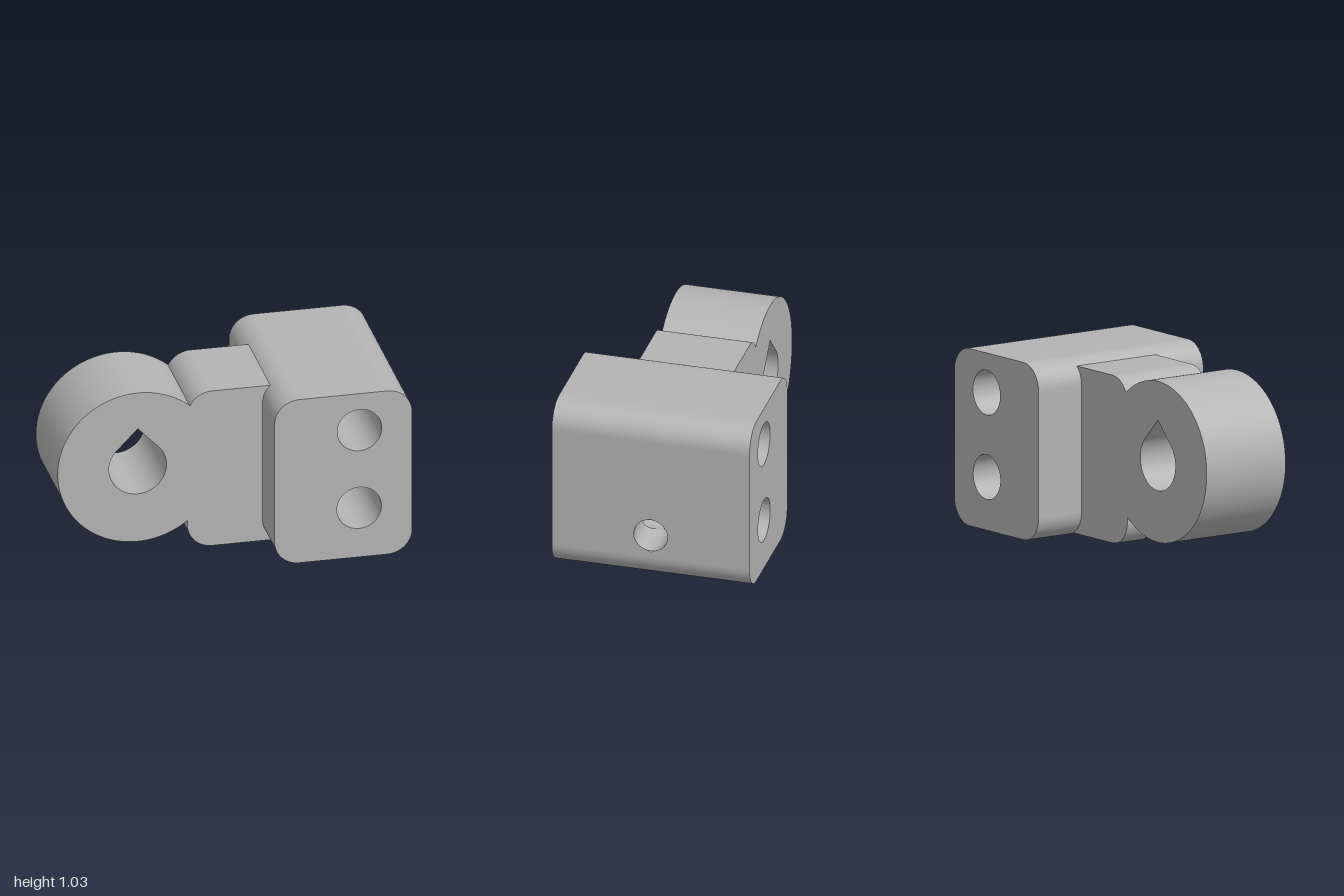
import * as THREE from 'three';
import { toCreasedNormals } from 'three/addons/utils/BufferGeometryUtils.js';

const PI = Math.PI;
const V = (x, y) => new THREE.Vector2(x, y);
const half = (r, d) => Math.sqrt(Math.max(0, r * r - d * d)); // half chord of a circle

// side bore along x, slot cut upward from below the neck and ring
const BORE_Y = 0.285, R = 0.1;
const SLOT_A = -0.4, SLOT_B = 0.03, BORE_END = -0.45;
const CEIL = BORE_Y + R * Math.sin(PI * 33.75 / 180);
const LOWER = { x: 0.69, y: 0.31, r: 0.13 };

function arc(cx, cy, r, a, b) {
  const n = Math.max(12, Math.ceil(Math.abs(b - a) * r / 0.008));
  return Array.from({ length: n + 1 }, (_, i) => {
    const t = a + (b - a) * i / n;
    return V(cx + r * Math.cos(t), cy + r * Math.sin(t));
  });
}

// Split long straight runs so that openings can be cut cleanly
function fill(points, closed = true) {
  const out = [];
  points.forEach((p, i) => {
    if (!closed && i === points.length - 1) return out.push(p);
    const q = points[(i + 1) % points.length];
    const d = p.distanceTo(q);
    if (d < 1e-5) return;
    const n = Math.ceil(d / 0.0085);
    for (let k = 0; k < n; k++) out.push(p.clone().lerp(q, k / n));
  });
  return out;
}

function quad(pos, a, b, c, d) {
  pos.push(...a, ...b, ...c, ...a, ...c, ...d);
}

function makeMesh(name, pos, material) {
  const g = new THREE.BufferGeometry();
  g.setAttribute('position', new THREE.Float32BufferAttribute(pos, 3));
  const m = new THREE.Mesh(toCreasedNormals(g, 0.5), material);
  m.name = name;
  return m;
}

// Walls of a profile; gap(x, y) is the half width in z of an opening in the wall
function walls(pos, pts, depth, gap, closed = true) {
  const n = closed ? pts.length : pts.length - 1;
  for (let i = 0; i < n; i++) {
    const a = pts[i], b = pts[(i + 1) % pts.length];
    const wa = gap(a.x, a.y), wb = gap(b.x, b.y);
    quad(pos, [a.x, a.y, -depth], [b.x, b.y, -depth], [b.x, b.y, -wb], [a.x, a.y, -wa]);
    quad(pos, [a.x, a.y, wa], [b.x, b.y, wb], [b.x, b.y, depth], [a.x, a.y, depth]);
  }
}

// Flat front and back with holes
function caps(pos, outline, holes, depth) {
  const all = [outline, ...holes].flat();
  for (const [i, j, k] of THREE.ShapeUtils.triangulateShape(outline, holes)) {
    for (const [z, order] of [[depth, [i, j, k]], [-depth, [i, k, j]]]) {
      for (const v of order) pos.push(all[v].x, all[v].y, z);
    }
  }
}

function slotHalf(x) {
  if (x < SLOT_A) return half(R, x - SLOT_A);
  if (x > SLOT_B) return half(R, x - SLOT_B);
  return R;
}

// Underside height of ring and neck
function bottomY(x) {
  if (x < -0.245) return 0.555 - half(0.468, x + 0.535);
  if (x < -0.1) return 0.16 - half(0.145, x + 0.1);
  return 0.015;
}

export function createModel() {
  const group = new THREE.Group();
  const grey = new THREE.MeshStandardMaterial({ color: 0xb4b4b4, side: THREE.DoubleSide });
  grey.name = 'grey';
  const boreGap = (x, y) => half(R, y - BORE_Y);

  // Block with two cross holes and the side bore
  const block = [];
  const blockOutline = fill([
    ...arc(0.855, 0.145, 0.145, -PI / 2, 0), ...arc(0.855, 0.885, 0.145, 0, PI / 2),
    ...arc(0.34, 0.885, 0.145, PI / 2, PI), ...arc(0.34, 0.145, 0.145, PI, PI * 1.5),
  ]);
  const upperHole = arc(0.692, 0.8, 0.13, PI * 2, 0).slice(1);
  const lowerHole = arc(LOWER.x, LOWER.y, LOWER.r, PI * 2, 0).slice(1);
  const D = 0.585;
  caps(block, blockOutline, [upperHole, lowerHole], D);
  walls(block, blockOutline, D, (x, y) => (x > 0.99 || x < 0.2 ? boreGap(x, y) : 0));
  walls(block, upperHole, D, () => 0);
  walls(block, lowerHole, D, boreGap);
  group.add(makeMesh('block', block, grey));

  // Ring and neck share one profile, open where it enters the block
  const eye = [];
  const eyeOutline = fill([
    V(0.27, 0.99), ...arc(-0.1, 0.845, 0.145, PI / 2, PI - 0.45),
    ...arc(-0.535, 0.555, 0.468, 0.867, PI * 2 - 0.902),
    ...arc(-0.1, 0.16, 0.145, PI, PI * 1.5), V(0.27, 0.015),
  ], false);
  const teardrop = fill([V(-0.535, 0.797), ...arc(-0.535, 0.555, 0.168, PI / 4, -PI * 1.25)]);
  caps(eye, eyeOutline, [teardrop], 0.28);
  walls(eye, eyeOutline, 0.28, (x, y) => (y < 0.3 ? slotHalf(x) : 0), false);
  walls(eye, teardrop, 0.28, () => 0);
  group.add(makeMesh('ringAndNeck', eye, grey));

  // Slot: side walls with the bore opening, and ceiling
  const slot = [];
  const slotOutline = fill([
    ...arc(SLOT_B, 0, R, -PI / 2, PI / 2), ...arc(SLOT_A, 0, R, PI / 2, PI * 1.5),
  ]);
  const boreHalf = half(R, CEIL - BORE_Y);
  slotOutline.forEach((a, i) => {
    const b = slotOutline[(i + 1) % slotOutline.length];
    const [p, q] = [a, b].map(({ x, y: z }) => {
      const s = x > SLOT_B ? half(R, z) : 0;
      const at = y => [x, y, z];
      return {
        low: at(bottomY(x)), under: at(BORE_Y - s),
        over: at(Math.min(CEIL, BORE_Y + s)), top: at(CEIL),
        inner: [Math.max(x, BORE_END), CEIL, THREE.MathUtils.clamp(z, -boreHalf, boreHalf)],
      };
    });
    quad(slot, p.low, q.low, q.under, p.under);
    quad(slot, p.over, q.over, q.top, p.top);
    quad(slot, p.top, q.top, q.inner, p.inner);
  });
  group.add(makeMesh('slot', slot, grey));

  // Side bore, from the block's side through the lower hole to the slot
  const bore = [];
  const N = 96;
  for (let i = 0; i < N; i++) {
    const [a, b] = [i, i + 1].map(k => {
      const t = k / N * PI * 2;
      return { y: BORE_Y + R * Math.sin(t), z: R * Math.cos(t) };
    });
    const at = (p, x) => [x, p.y, p.z];
    const cross = (p, s) => at(p, LOWER.x + s * half(LOWER.r, p.y - LOWER.y));
    quad(bore, at(a, 1), at(b, 1), cross(b, 1), cross(a, 1));
    const high = Math.min(a.y, b.y) > CEIL - 1e-5;
    const end = p => at(p, high ? BORE_END : SLOT_B + half(R, p.z));
    quad(bore, cross(a, -1), cross(b, -1), end(b), end(a));
    if (high) quad(bore, end(a), end(b), [BORE_END, CEIL, b.z], [BORE_END, CEIL, a.z]);
  }
  group.add(makeMesh('sideBore', bore, grey));

  return group;
}
